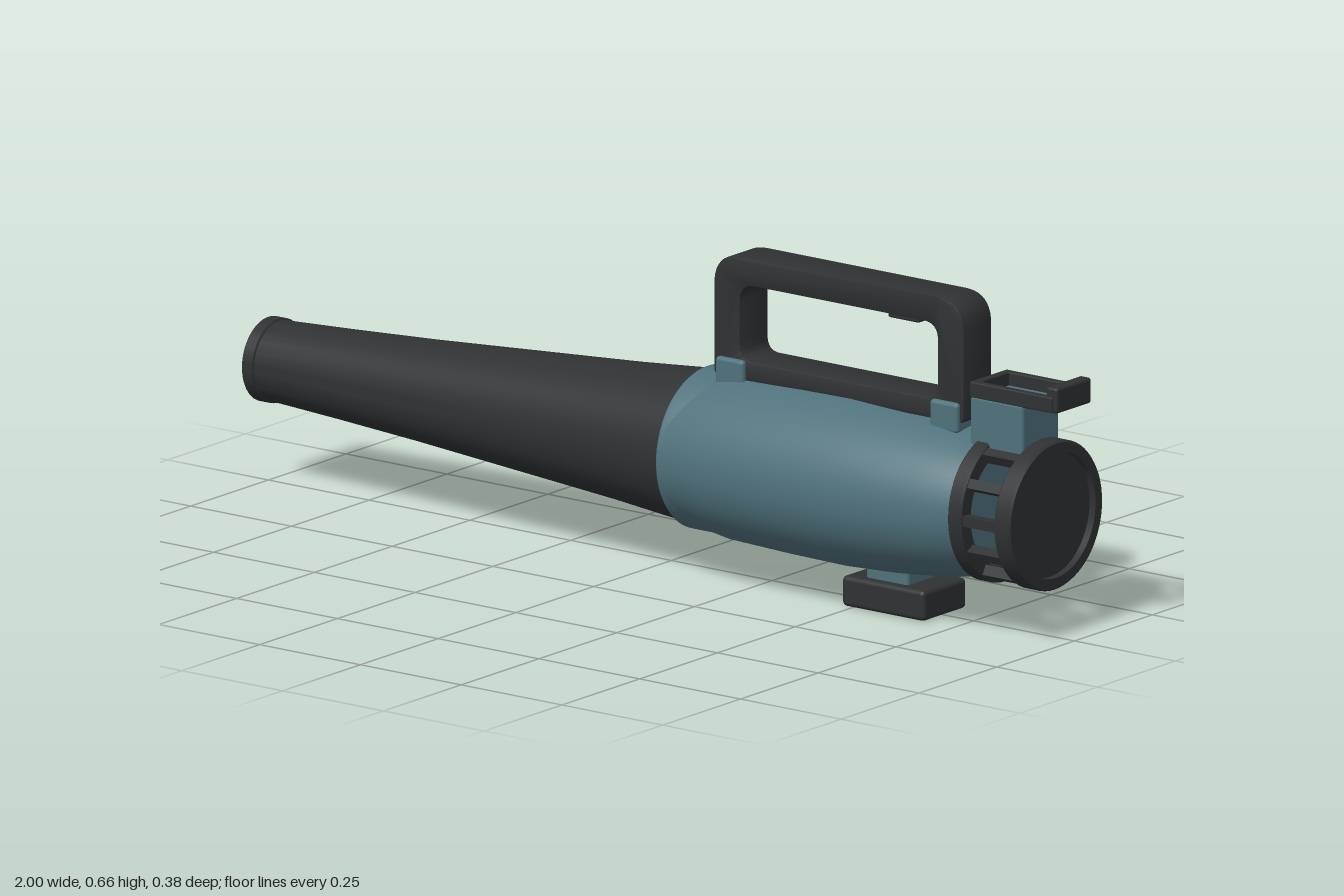
import * as THREE from 'three';
import { toCreasedNormals } from 'three/addons/utils/BufferGeometryUtils.js';
import { RoundedBoxGeometry } from 'three/addons/geometries/RoundedBoxGeometry.js';

const AXIS = 0.247; // height of the tube axis

export function createModel() {
  const model = new THREE.Group();
  model.name = 'leafBlower';
  const teal = new THREE.MeshStandardMaterial({ color: 0x50727c });
  const dark = new THREE.MeshStandardMaterial({ color: 0x2f3133 });

  const add = (name, geometry, material, parent = model) => {
    const mesh = new THREE.Mesh(geometry, material);
    mesh.name = name;
    parent.add(mesh);
    return mesh;
  };

  // Turned part along x; each point is [x, radius]
  const turned = (name, points, material, squash = 1) => {
    const g = new THREE.LatheGeometry(points.map(([x, r]) => new THREE.Vector2(r, x)), 64);
    g.rotateZ(-Math.PI / 2);
    g.scale(1, squash, 1);
    const mesh = add(name, toCreasedNormals(g, 0.45), material);
    mesh.position.y = AXIS;
    return mesh;
  };

  // Rounded block given by its x, y ranges and half width in z
  const block = (name, x0, x1, y0, y1, hz, material, r = 0.008, z = 0) => {
    const g = new RoundedBoxGeometry(x1 - x0, y1 - y0, hz * 2, 3, r);
    add(name, g, material).position.set((x0 + x1) / 2, (y0 + y1) / 2, z);
  };

  // Hollow blower tube with a lip at the mouth
  turned('blowerTube', [
    [0.08, 0], [0.08, 0.143], [-0.1, 0.132], [-0.6, 0.094], [-0.97, 0.073], [-1, 0.073],
    [-1, 0.085], [-0.975, 0.085], [-0.973, 0.081], [-0.8, 0.09], [-0.6, 0.102],
    [-0.35, 0.12], [-0.1, 0.138], [0.1, 0.156],
  ], dark);

  // Motor housing, slightly flattened, with its front collar
  turned('motorHousing', [
    [0.1, 0], [0.1, 0.166], [0.15, 0.173], [0.2, 0.181], [0.35, 0.186], [0.48, 0.188],
    [0.6, 0.182], [0.72, 0.17], [0.77, 0.16], [0.8, 0.153], [0.81, 0.145], [0.81, 0],
  ], teal, 0.935);
  turned('housingCollar', [
    [0.085, 0.15], [0.085, 0.16], [0.09, 0.164], [0.14, 0.164], [0.18, 0.155],
  ], teal);

  // Air intake: inner ring, slats and recessed end cap
  turned('intakeRing', [
    [0.8, 0.12], [0.8, 0.148], [0.805, 0.153], [0.83, 0.153], [0.835, 0.149],
    [0.835, 0.12], [0.8, 0.12],
  ], dark);
  turned('intakeCap', [
    [0.915, 0], [0.915, 0.147], [0.919, 0.151], [0.95, 0.151], [0.955, 0.147],
    [0.955, 0.126], [0.94, 0.126], [0.94, 0],
  ], dark);
  const slats = new THREE.Group();
  slats.name = 'intakeSlats';
  slats.position.y = AXIS;
  model.add(slats);
  const slatCount = 12;
  for (let i = 0; i < slatCount; i++) {
    const a = (i / slatCount) * Math.PI * 2;
    const slat = add('intakeSlat', new THREE.BoxGeometry(0.11, 0.02, 0.022), dark, slats);
    slat.position.set(0.875, Math.sin(a) * 0.136, Math.cos(a) * 0.136);
    slat.rotation.x = -a;
  }

  // Carrying handle: rounded frame with a rounded opening
  const frame = (path, x0, x1, y0, y1, rTop, rLow) => {
    path.moveTo(x0 + rLow, y0);
    path.lineTo(x1 - rLow, y0);
    path.quadraticCurveTo(x1, y0, x1, y0 + rLow);
    path.lineTo(x1, y1 - rTop);
    path.quadraticCurveTo(x1, y1, x1 - rTop, y1);
    path.lineTo(x0 + rTop, y1);
    path.quadraticCurveTo(x0, y1, x0, y1 - rTop);
    path.lineTo(x0, y0 + rLow);
    path.quadraticCurveTo(x0, y0, x0 + rLow, y0);
    return path;
  };
  const bevel = 0.004;
  const shape = frame(new THREE.Shape(), 0.144, 0.756, 0.414, 0.656, 0.06, 0.012);
  shape.holes.push(frame(new THREE.Path(), 0.201, 0.699, 0.448, 0.609, 0.04, 0.035));
  const handle = new THREE.ExtrudeGeometry(shape, {
    depth: 0.084, bevelThickness: bevel, bevelSize: bevel, bevelSegments: 2, curveSegments: 10,
  });
  handle.translate(0, 0, -0.042);
  add('handle', toCreasedNormals(handle, 0.5), dark);
  block('trigger', 0.558, 0.635, 0.592, 0.62, 0.028, dark, 0.004);

  // Handle mounts
  for (const x of [0.15, 0.682]) block('handleMount', x, x + 0.07, 0.39, 0.452, 0.056, teal);

  // Rear bracket and open hook frame
  block('hookBracket', 0.785, 0.917, 0.36, 0.478, 0.06, teal);
  for (const s of [-1, 1]) block('hookRail', 0.785, 0.99, 0.473, 0.505, 0.008, dark, 0.003, s * 0.052);
  block('hookBar', 0.785, 0.803, 0.473, 0.505, 0.056, dark, 0.003);
  block('hookEnd', 0.972, 1, 0.472, 0.524, 0.056, dark, 0.006);

  // Support foot
  block('footNeck', 0.52, 0.625, 0.05, 0.12, 0.05, teal);
  block('foot', 0.475, 0.68, 0, 0.062, 0.07, dark, 0.01);

  return model;
}
